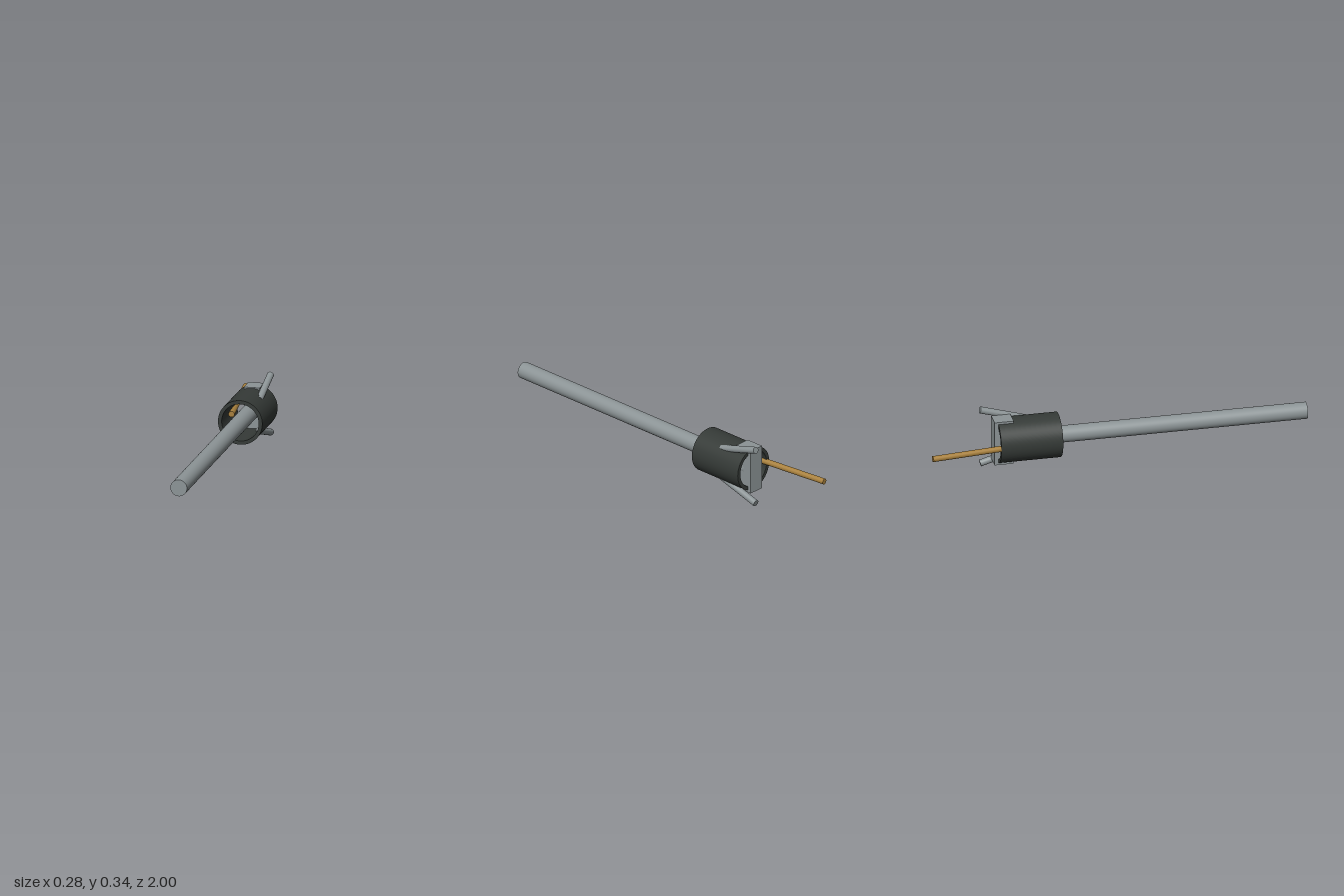
import * as THREE from 'three';

const AXIS_X = 0.02, AXIS_Y = 0.172;
const steel = new THREE.MeshStandardMaterial({ color: 0x8c9496 });
const dark = new THREE.MeshStandardMaterial({ color: 0x353a37 });
const brass = new THREE.MeshStandardMaterial({ color: 0xa8803c });

// Solid round bar running between two points
function bar(name, from, to, radius, material) {
  const a = new THREE.Vector3(...from), b = new THREE.Vector3(...to);
  const dir = b.clone().sub(a);
  const mesh = new THREE.Mesh(new THREE.CylinderGeometry(radius, radius, dir.length(), 48), material);
  mesh.position.copy(a).add(b).multiplyScalar(0.5);
  mesh.quaternion.setFromUnitVectors(new THREE.Vector3(0, 1, 0), dir.normalize());
  mesh.name = name;
  return mesh;
}

export function createModel() {
  const model = new THREE.Group();
  model.name = 'rodWithCollar';

  // Long main rod, ending in the cross block
  model.add(bar('mainRod', [AXIS_X, AXIS_Y, 1], [AXIS_X, AXIS_Y, -0.6], 0.044, steel));

  // Open tubular collar
  const ring = new THREE.Shape().absarc(0, 0, 0.1175, 0, Math.PI * 2, false);
  ring.holes.push(new THREE.Path().absarc(0, 0, 0.098, 0, Math.PI * 2, true));
  const collar = new THREE.Mesh(
    new THREE.ExtrudeGeometry(ring, { depth: 0.325, bevelEnabled: false, curveSegments: 64 }), dark);
  collar.position.set(AXIS_X, AXIS_Y, -0.63);
  collar.name = 'collar';
  model.add(collar);

  // Upright block across the rear of the collar
  const block = new THREE.Mesh(new THREE.BoxGeometry(0.084, 0.244, 0.1), steel);
  block.position.set(AXIS_X, AXIS_Y, -0.6);
  block.name = 'crossBlock';
  model.add(block);

  // Splayed prongs, mirrored above and below the axis
  for (const [name, s] of [['upperProng', 1], ['lowerProng', -1]]) {
    model.add(bar(name, [0.081, AXIS_Y + s * 0.082, -0.465], [0.081, AXIS_Y + s * 0.153, -0.705], 0.0178, steel));
  }

  // Thin angled pin through the collar's right wall
  model.add(bar('anglePin', [-0.062, AXIS_Y, -0.45], [-0.123, AXIS_Y, -0.998], 0.0155, brass));

  return model;
}
